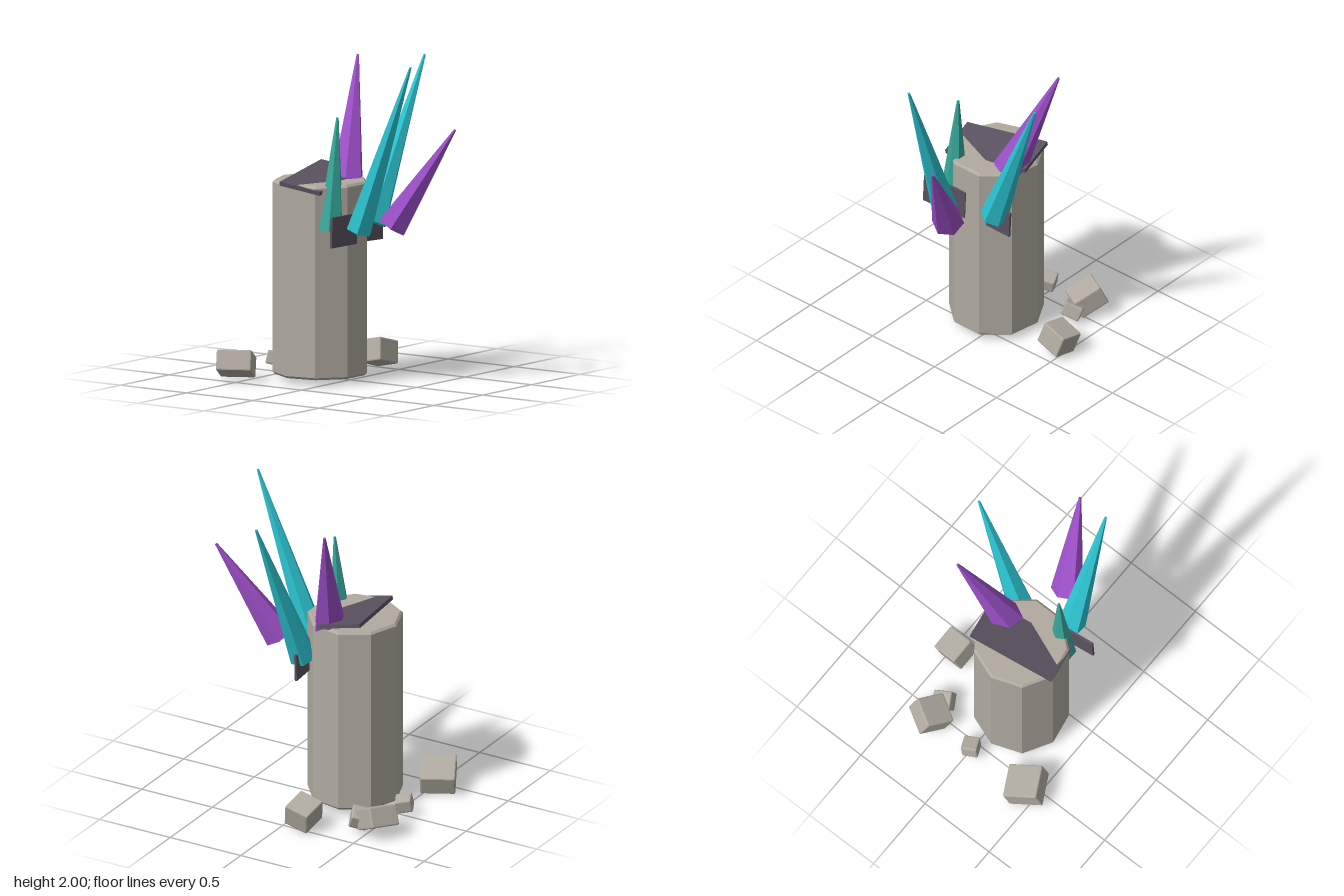
import * as THREE from 'three';
import { RoundedBoxGeometry } from 'three/addons/geometries/RoundedBoxGeometry.js';

const mat = (color) => new THREE.MeshStandardMaterial({ color, flatShading: true });
const rad = THREE.MathUtils.degToRad;

export function createModel() {
  const model = new THREE.Group();
  const stone = mat(0xb0aaa0), slate = mat(0x5a5260);
  const cyan = mat(0x2cc4d2), purple = mat(0x9c4fc8), teal = mat(0x38a89c);

  const add = (name, geometry, material, position, [pitch, yaw, roll] = [0, 0, 0]) => {
    const mesh = new THREE.Mesh(geometry, material);
    mesh.name = name;
    mesh.position.set(...position);
    mesh.rotation.set(rad(pitch), rad(yaw), rad(roll), 'YXZ');
    model.add(mesh);
    return mesh;
  };

  // Nine-sided stone column with chamfered rims
  const profile = [[0, 0.04], [0.28, 0.04], [0.294, 0.054], [0.294, 1.221], [0.28, 1.235], [0, 1.235]]
    .map(([r, y]) => new THREE.Vector2(r, y));
  add('column', new THREE.LatheGeometry(profile, 9, Math.PI), stone, [-0.08, 0, -0.166]);

  // Tilted slab on the top, and two thin plates at the front
  add('topSlab', new THREE.BoxGeometry(0.57, 0.025, 0.275), slate, [-0.08, 1.245, -0.167], [9.5, 11, 6]);
  add('leftPlate', new THREE.BoxGeometry(0.19, 0.175, 0.015), slate, [0.14, 0.942, 0.072], [0, 2, -3]);
  add('rightPlate', new THREE.BoxGeometry(0.307, 0.188, 0.015), slate, [-0.24, 0.965, 0.127], [0, 6.5, -2.5]);

  // Six-sided crystals: base centre, tip, base radius
  const crystals = [
    [cyan, [-0.183, 0.965, 0.2], [-0.15, 2.0, 0.565], 0.084],
    [cyan, [0.12, 0.965, 0.085], [0.525, 1.96, 0.175], 0.087],
    [purple, [-0.03, 0.985, 0.34], [0.145, 1.59, 0.685], 0.1],
    [purple, [0.09, 1.2, -0.09], [0.375, 1.94, -0.22], 0.104],
    [teal, [-0.245, 0.96, 0.03], [-0.2, 1.65, 0.05], 0.085],
  ];
  const up = new THREE.Vector3(0, 1, 0);
  for (const [material, from, to, radius] of crystals) {
    const base = new THREE.Vector3(...from), tip = new THREE.Vector3(...to);
    const axis = tip.clone().sub(base);
    const centre = base.clone().add(tip).multiplyScalar(0.5);
    const geometry = new THREE.CylinderGeometry(0.008, radius, axis.length(), 6);
    const mesh = add('crystal', geometry, material, centre.toArray());
    mesh.quaternion.setFromUnitVectors(up, axis.normalize());
  }

  // Chamfered rubble blocks: size, position, [pitch, yaw, roll]
  const blocks = [
    [[0.22, 0.13, 0.215], [-0.425, 0.108, -0.55], [0, 28, -20]],
    [[0.1, 0.085, 0.1], [-0.005, 0.085, -0.56], [12, 24, -10]],
    [[0.19, 0.13, 0.19], [0.31, 0.118, -0.555], [25, -28, 5]],
    [[0.12, 0.09, 0.11], [0.31, 0.085, -0.43], [-15, 30, -20]],
    [[0.175, 0.145, 0.165], [0.462, 0.108, -0.125], [-12, -2, -15]],
  ];
  for (const [size, position, tilt] of blocks) {
    add('rubble', new RoundedBoxGeometry(...size, 1, 0.009), stone, position, tilt);
  }

  return model;
}
